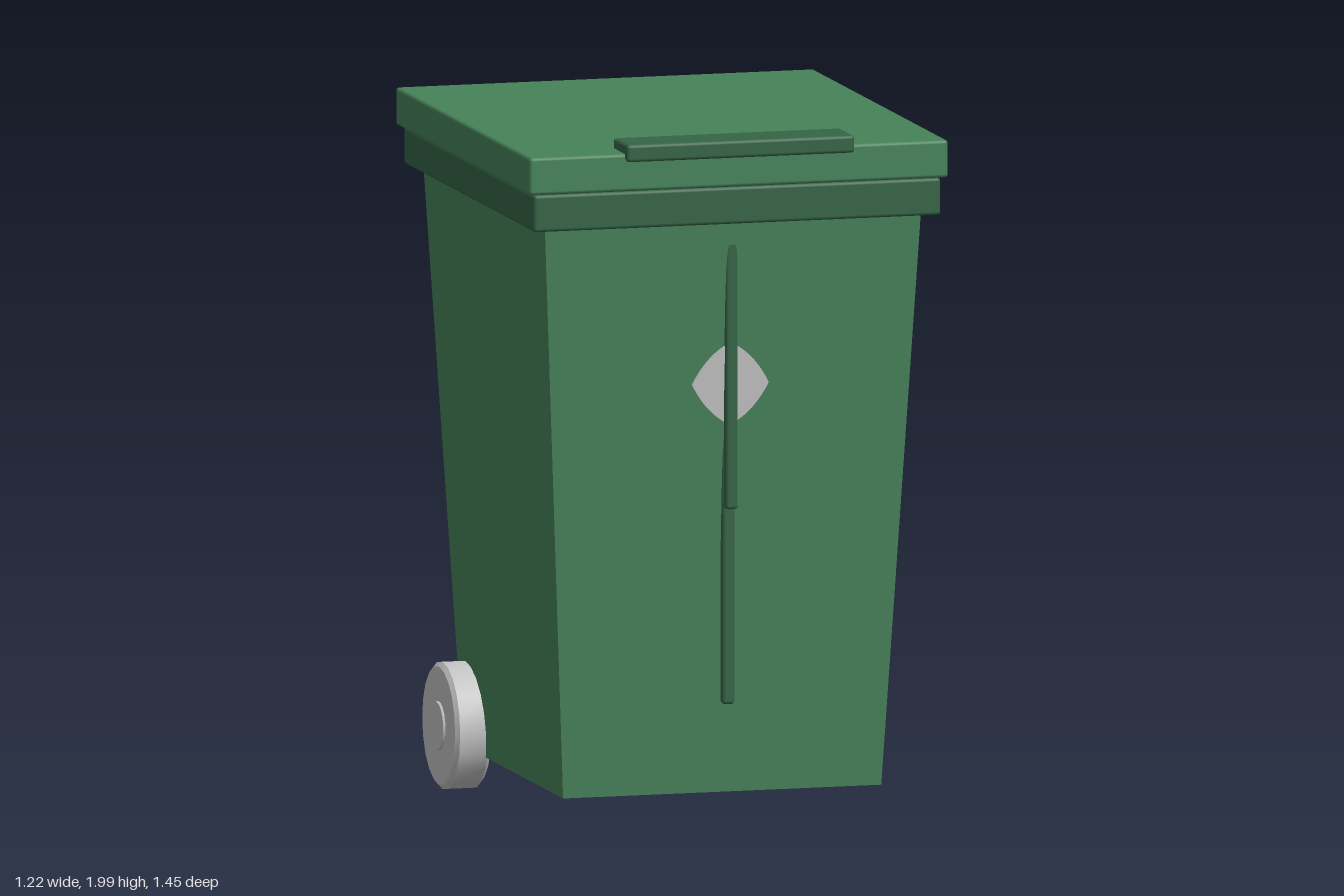
import * as THREE from 'three';
import { toCreasedNormals } from 'three/addons/utils/BufferGeometryUtils.js';
import { RoundedBoxGeometry } from 'three/addons/geometries/RoundedBoxGeometry.js';

export function createModel() {
  const model = new THREE.Group();
  const material = (name, color) => {
    const m = new THREE.MeshStandardMaterial({ color });
    m.name = name;
    return m;
  };
  const green = material('green', 0x468259);
  const darkGreen = material('dark green', 0x356446);
  const grey = material('light grey', 0xc2c2c2);

  const add = (name, geometry, mat) => {
    const mesh = new THREE.Mesh(geometry, mat);
    mesh.name = name;
    model.add(mesh);
    return mesh;
  };
  // Softly rounded box given by its limits on each axis
  const block = (name, mat, [x0, x1], [y0, y1], [z0, z1], r = 0.01) =>
    add(name, new RoundedBoxGeometry(x1 - x0, y1 - y0, z1 - z0, 2, r), mat)
      .position.set((x0 + x1) / 2, (y0 + y1) / 2, (z0 + z1) / 2);

  // Tapered body, narrower at the bottom
  const bottom = { y: 0.12, x: 0.465, front: 0.535, back: -0.484 };
  const top = { y: 1.77, x: 0.55, front: 0.645, back: -0.597 };
  const body = new THREE.BoxGeometry(1, 1, 1);
  const p = body.attributes.position;
  for (let i = 0; i < p.count; i++) {
    const s = p.getY(i) > 0 ? top : bottom;
    p.setXYZ(i, Math.sign(p.getX(i)) * s.x, s.y, p.getZ(i) > 0 ? s.front : s.back);
  }
  body.computeVertexNormals();
  add('body', body, green);

  // Rim, lid and lid grip
  block('rim', darkGreen, [-0.595, 0.595], [1.757, 1.863], [-0.64, 0.692]);
  block('lid', green, [-0.612, 0.612], [1.865, 1.972], [-0.662, 0.708]);
  block('lidGrip', darkGreen, [-0.333, 0.333], [1.95, 2], [0.582, 0.727]);

  // Upright ribs that run into the sloping front
  block('upperRib', darkGreen, [-0.018, 0.018], [0.937, 1.7], [0.606, 0.64]);
  block('lowerRib', darkGreen, [-0.018, 0.018], [0.378, 1.22], [0.571, 0.605]);

  // Diamond badge with bowed edges, lying on the front
  const w = 0.112, h = 0.118;
  const diamond = new THREE.Shape();
  diamond.moveTo(w, 0);
  diamond.quadraticCurveTo(w * 0.62, h * 0.72, 0, h);
  diamond.quadraticCurveTo(-w * 0.62, h * 0.72, -w, 0);
  diamond.quadraticCurveTo(-w * 0.62, -h * 0.72, 0, -h);
  diamond.quadraticCurveTo(w * 0.62, -h * 0.72, w, 0);
  const badge = add('badge', new THREE.ExtrudeGeometry(diamond, { depth: 0.008, bevelEnabled: false }), grey);
  badge.position.set(0, 1.293, 0.612);
  badge.rotation.x = Math.atan2(top.front - bottom.front, top.y - bottom.y);

  // Rear push bar
  const bar = add('pushBar', new THREE.CylinderGeometry(0.041, 0.041, 0.884, 24), darkGreen);
  bar.rotation.z = Math.PI / 2;
  bar.position.set(0, 1.717, -0.687);

  // Wheel section: tyre with eased edges and a raised hub, axis along y
  const section = [[0, -0.053], [0.168, -0.053], [0.181, -0.042], [0.181, 0.042],
    [0.168, 0.053], [0.07, 0.053], [0.067, 0.059], [0, 0.059]]
    .map(([r, y]) => new THREE.Vector2(r, y));

  for (const side of [-1, 1]) {
    const label = side > 0 ? 'left' : 'right';
    block(label + 'BarBracket', darkGreen,
      [side * 0.39 - 0.04, side * 0.39 + 0.04], [1.467, 1.742], [-0.7, -0.565]);
    const wheel = toCreasedNormals(new THREE.LatheGeometry(section, 20), 0.5);
    wheel.rotateZ(-side * Math.PI / 2);
    add(label + 'Wheel', wheel, grey).position.set(side * 0.502, 0.19, -0.42);
  }
  return model;
}
